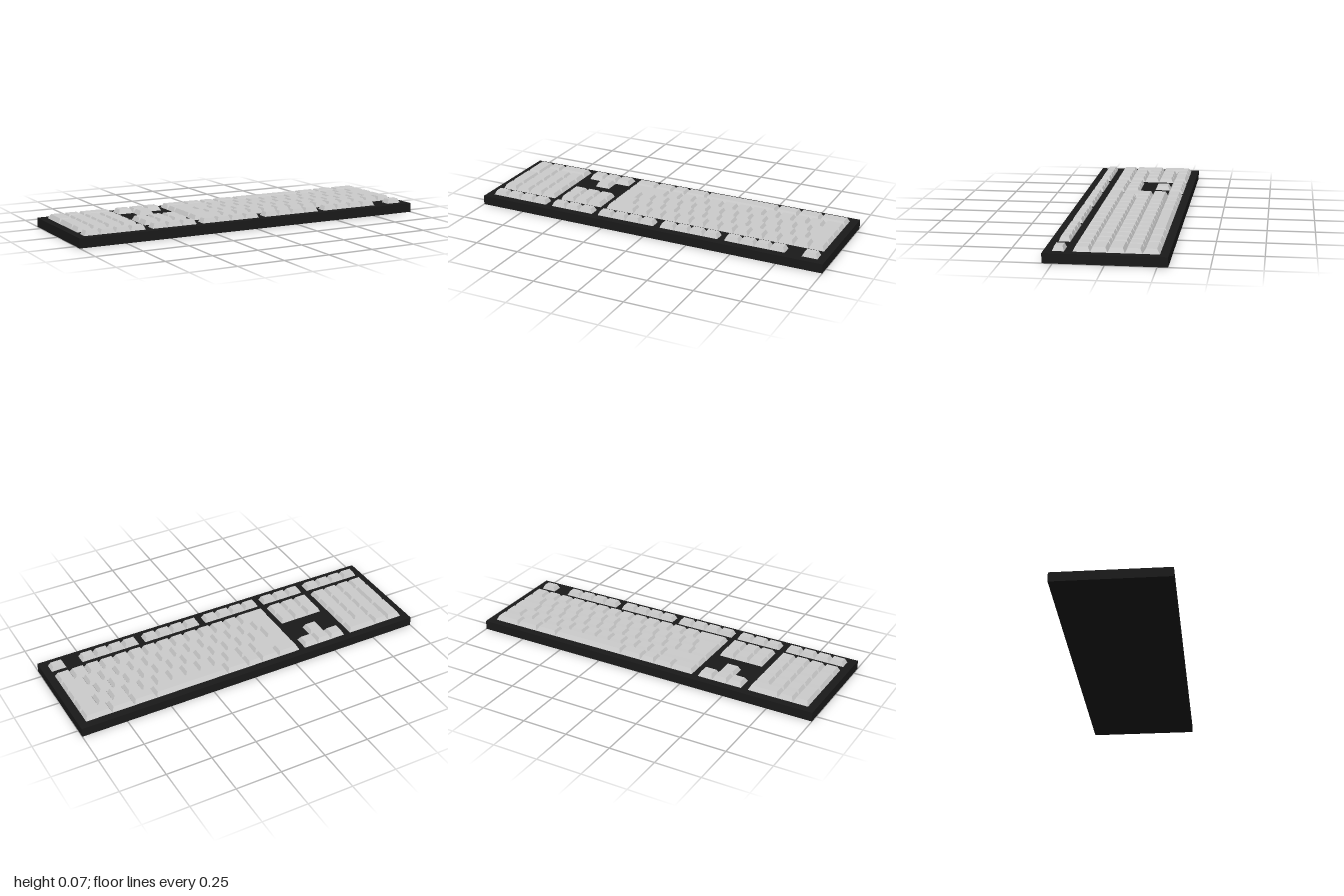
import * as THREE from 'three';

const U = 0.0836;            // key pitch
const BODY_TOP = 0.05, KEY_H = 0.024;
const MAIN = -0.297, NAV = -0.584, PAD = -0.957;   // low-x edge of each block
const ROW = [-0.259, -0.1754, -0.0918, -0.0082, 0.0754]; // back edge: space ... number row
const TOP_Z = 0.2, TOP_D = 0.0585;                 // shallow row beyond the number row

const keyMat = new THREE.MeshStandardMaterial({ color: 0xcccccc, flatShading: true });
const bodyMat = new THREE.MeshStandardMaterial({ color: 0x1a1a1a, flatShading: true });

// Tapered keycap: a box whose top face is drawn inwards
function keycap(group, name, x, z, w, d, insetZ = 0.011) {
  const geo = new THREE.BoxGeometry(w, KEY_H, d);
  const p = geo.attributes.position;
  for (let i = 0; i < p.count; i++) {
    if (p.getY(i) < 0) continue;
    p.setX(i, p.getX(i) - Math.sign(p.getX(i)) * 0.012);
    p.setZ(i, p.getZ(i) - Math.sign(p.getZ(i)) * insetZ);
  }
  geo.computeVertexNormals();
  const mesh = new THREE.Mesh(geo, keyMat);
  mesh.name = name;
  mesh.position.set(x + w / 2, BODY_TOP + KEY_H / 2, z + d / 2);
  group.add(mesh);
}

// Row of keys; widths in key units, negative widths are gaps
function keyRow(group, name, x, z, widths, d = U, insetZ = 0.011) {
  for (const w of widths) {
    if (w > 0) keycap(group, name, x, z, w * U, d, insetZ);
    x += Math.abs(w) * U;
  }
}

const ones = (n) => Array(n).fill(1);

function block(root, name) {
  const g = new THREE.Group();
  g.name = name;
  root.add(g);
  return g;
}

export function createModel() {
  const root = new THREE.Group();
  root.name = 'keyboard';

  const body = new THREE.Mesh(new THREE.BoxGeometry(2, BODY_TOP, 0.604), bodyMat);
  body.name = 'body';
  body.position.y = BODY_TOP / 2;
  root.add(body);

  // Main typing block
  const main = block(root, 'mainKeys');
  keyRow(main, 'bottomRowKey', MAIN, ROW[0], [1.5, 1.25, 1, 1.5, 5, 1.5, 1.5, 1.75], U, 0.015);
  keyRow(main, 'shiftRowKey', MAIN, ROW[1], [2.75, ...ones(11), 1.25]);
  keyRow(main, 'homeRowKey', MAIN, ROW[2], [-1.25, ...ones(12), 1.75]);
  keyRow(main, 'upperRowKey', MAIN, ROW[3], [-1.5, ...ones(12), 1.5]);
  keyRow(main, 'numberRowKey', MAIN, ROW[4], [2, ...ones(13)]);

  // L-shaped enter key: a tall part and a wider wing
  keycap(main, 'enterKey', MAIN, ROW[2], 1.25 * U, 2 * U);
  keycap(main, 'enterKeyWing', MAIN, ROW[3], 1.5 * U, U);

  // Separate shallow top row
  const top = block(root, 'topRowKeys');
  const four = ones(4);
  keyRow(top, 'topRowKey', MAIN, TOP_Z, [...four, -0.45, ...four, -0.45, ...four, -1.1, 1], TOP_D, 0.0095);
  keyRow(top, 'systemKey', NAV, TOP_Z, ones(3), TOP_D, 0.0095);
  keyRow(top, 'mediaKey', PAD, TOP_Z, four, TOP_D, 0.0095);

  // Navigation and arrow keys
  const nav = block(root, 'navigationKeys');
  keyRow(nav, 'navigationKey', NAV, ROW[4], ones(3));
  keyRow(nav, 'navigationKey', NAV, ROW[3], ones(3));
  keyRow(nav, 'upArrowKey', NAV, ROW[1], [-1, 1]);
  keyRow(nav, 'arrowKey', NAV, ROW[0], ones(3), U, 0.015);

  // Number pad with two double-height keys
  const pad = block(root, 'numberPad');
  keyRow(pad, 'padKey', PAD, ROW[4], four);
  for (const r of [1, 2, 3]) keyRow(pad, 'padKey', PAD, ROW[r], [-1, 1, 1, 1]);
  keyRow(pad, 'padBottomKey', PAD, ROW[0], [-1, 1, 2], U, 0.015);
  keycap(pad, 'padPlusKey', PAD, ROW[2], U, 2 * U);
  keycap(pad, 'padEnterKey', PAD, ROW[0], U, 2 * U, 0.015);

  return root;
}
